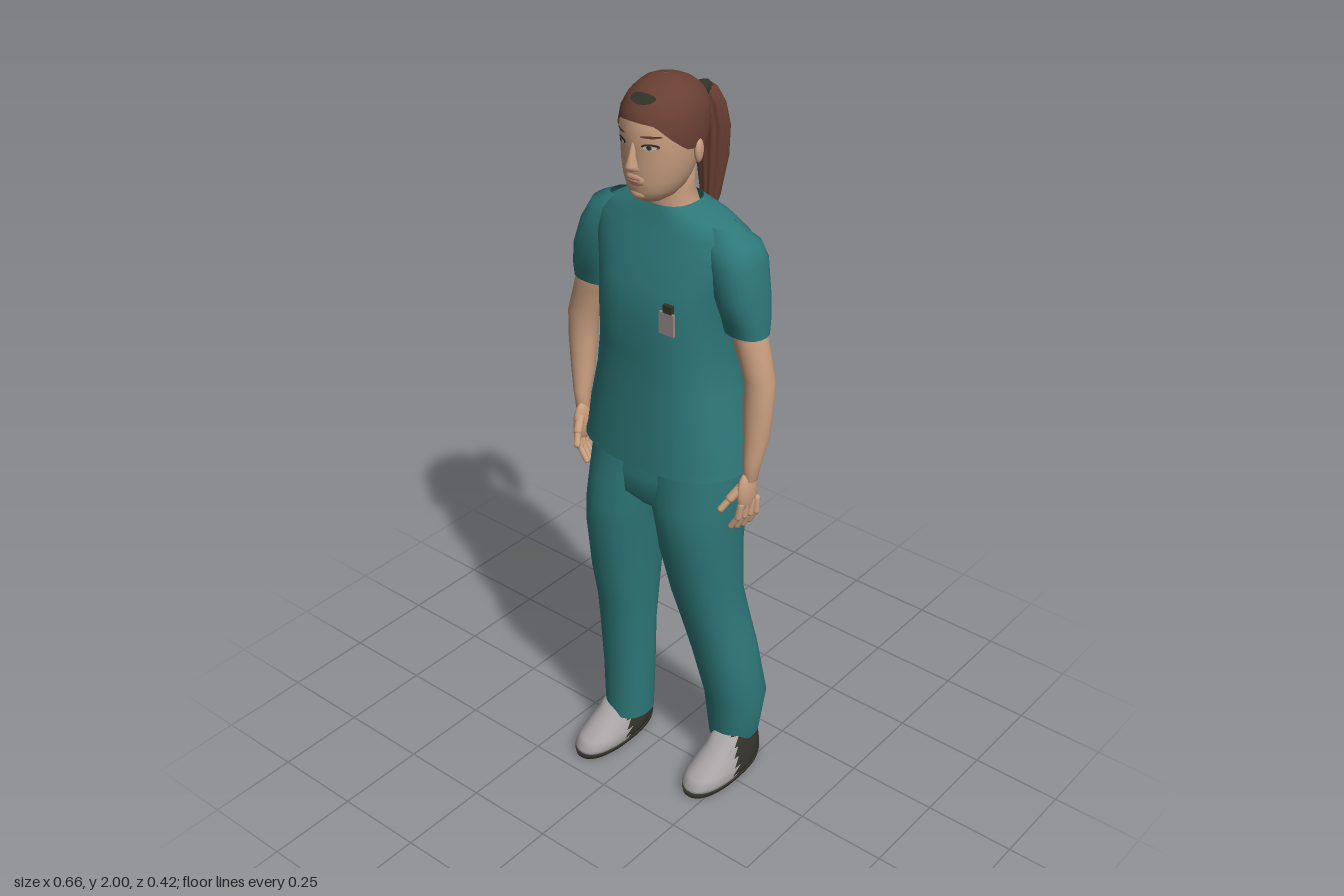
import * as THREE from 'three';

const paint = (name, color, side = THREE.FrontSide) => {
  const m = new THREE.MeshStandardMaterial({ color, side });
  m.name = name;
  return m;
};

// Closed skin of rows x seg points; pick(x, y, z) chooses a material group
function skin(rows, seg, point, caps, pick) {
  const pos = [], quads = [[], []];
  for (let i = 0; i < rows; i++) for (let j = 0; j < seg; j++) pos.push(...point(i, (j / seg) * Math.PI * 2));
  const add = (a, b, c) => {
    const mid = [0, 1, 2].map(k => (pos[a * 3 + k] + pos[b * 3 + k] + pos[c * 3 + k]) / 3);
    quads[pick ? pick(...mid) : 0].push(a, b, c);
  };
  for (let i = 0; i < rows - 1; i++) for (let j = 0; j < seg; j++) {
    const k = (j + 1) % seg, a = i * seg + j, b = i * seg + k;
    add(a, a + seg, b);
    add(b, a + seg, b + seg);
  }
  if (caps) for (const row of [0, rows - 1]) {
    const c = pos.length / 3, mid = [0, 0, 0];
    for (let j = 0; j < seg; j++) for (let k = 0; k < 3; k++) mid[k] += pos[(row * seg + j) * 3 + k] / seg;
    pos.push(...mid);
    for (let j = 0; j < seg; j++) {
      const a = row * seg + j, b = row * seg + (j + 1) % seg;
      row ? add(c, b, a) : add(c, a, b);
    }
  }
  const g = new THREE.BufferGeometry();
  g.setAttribute('position', new THREE.Float32BufferAttribute(pos, 3));
  g.setIndex([...quads[0], ...quads[1]]);
  if (pick) {
    g.addGroup(0, quads[0].length, 0);
    g.addGroup(quads[0].length, quads[1].length, 1);
  }
  g.computeVertexNormals();
  return g;
}

// A ring is [y, xMin, xMax, zBack, zFront]; n sets how square it is
const ringPoint = (r, a, n = 2) => {
  const p = v => Math.sign(v) * Math.pow(Math.abs(v), 2 / n);
  return [(r[1] + r[2]) / 2 + (r[2] - r[1]) / 2 * p(Math.cos(a)), r[0],
    (r[3] + r[4]) / 2 + (r[4] - r[3]) / 2 * p(Math.sin(a))];
};
const loft = (rings, { n = 2, seg = 28, caps = true, pick } = {}) =>
  skin(rings.length, seg, (i, a) => ringPoint(rings[i], a, n), caps, pick);

// Ring interpolated at height y
function ringAt(rings, y) {
  let i = 0;
  while (i < rings.length - 2 && rings[i + 1][0] < y) i++;
  const t = (y - rings[i][0]) / (rings[i + 1][0] - rings[i][0]);
  return rings[i].map((v, k) => v + (rings[i + 1][k] - v) * t);
}

// Thin ellipse draped over the front of a lofted form
function drape(rings, x, y, w, h, lift = 0.002) {
  const g = new THREE.CircleGeometry(1, 20), p = g.attributes.position;
  for (let i = 0; i < p.count; i++) {
    const px = x + p.getX(i) * w, py = y + p.getY(i) * h, r = ringAt(rings, py);
    const u = (px - (r[1] + r[2]) / 2) / ((r[2] - r[1]) / 2);
    p.setXYZ(i, px, py, (r[3] + r[4]) / 2 + (r[4] - r[3]) / 2 * Math.sqrt(Math.max(0, 1 - u * u)) + lift);
  }
  g.computeVertexNormals();
  return g;
}

const HEAD = [
  [1.712, -0.015, 0.045, 0.02, 0.085], [1.725, -0.035, 0.065, -0.02, 0.104], [1.745, -0.05, 0.08, -0.045, 0.112],
  [1.77, -0.062, 0.092, -0.06, 0.116], [1.81, -0.073, 0.103, -0.08, 0.119], [1.85, -0.078, 0.108, -0.09, 0.118],
  [1.89, -0.079, 0.109, -0.1, 0.123], [1.93, -0.072, 0.102, -0.1, 0.112], [1.96, -0.055, 0.085, -0.08, 0.085],
  [1.985, -0.03, 0.06, -0.04, 0.04]];
const HAIR = [
  [1.76, -0.062, 0.092, -0.075, 0.118], [1.8, -0.077, 0.107, -0.09, 0.123], [1.85, -0.084, 0.114, -0.108, 0.123],
  [1.89, -0.085, 0.115, -0.116, 0.127], [1.93, -0.08, 0.11, -0.114, 0.118], [1.96, -0.066, 0.096, -0.098, 0.098],
  [1.985, -0.042, 0.072, -0.065, 0.062], [1.996, -0.017, 0.047, -0.03, 0.028], [2.0, 0.01, 0.02, -0.005, 0.005]];
// Hairline height from back of head (-1) to forehead (+1)
const HAIRLINE = [[-1, 1.765], [-0.6, 1.775], [-0.3, 1.8], [0, 1.845], [0.3, 1.85], [0.6, 1.88], [0.85, 1.912], [1, 1.918]];

export function createModel() {
  const model = new THREE.Group();
  const teal = paint('teal cloth', 0x2e7778, THREE.DoubleSide), flesh = paint('skin', 0xc79d7e);
  const brown = paint('brown hair', 0x693f33, THREE.DoubleSide), dark = paint('dark trim', 0x34332a);
  const grey = paint('shoe grey', 0xa8a3a4), pink = paint('lips', 0xa8705f);
  const card = paint('badge card', 0x968a88), white = paint('eye white', 0xcfc4b8);
  const put = (name, geo, mat, parent = model) => {
    const m = new THREE.Mesh(geo, mat);
    m.name = name;
    parent.add(m);
    return m;
  };
  const ball = (name, mat, p, s, parent) => {
    const m = put(name, new THREE.SphereGeometry(1, 18, 12), mat, parent);
    m.position.set(...p);
    m.scale.set(...s);
    return m;
  };
  const rod = (name, p, q, r, parent) => {
    const a = new THREE.Vector3(...p), b = new THREE.Vector3(...q), d = b.clone().sub(a);
    const m = put(name, new THREE.CapsuleGeometry(r, d.length(), 4, 10), flesh, parent);
    m.position.copy(a).add(b).multiplyScalar(0.5);
    m.quaternion.setFromUnitVectors(new THREE.Vector3(0, 1, 0), d.normalize());
  };

  // Tunic, open at hem and collar
  put('tunic', loft([
    [1.005, -0.222, 0.255, -0.18, 0.137], [1.03, -0.216, 0.25, -0.188, 0.136], [1.12, -0.2, 0.235, -0.172, 0.131],
    [1.22, -0.176, 0.206, -0.16, 0.125], [1.32, -0.162, 0.194, -0.15, 0.124], [1.42, -0.16, 0.194, -0.154, 0.13],
    [1.5, -0.17, 0.205, -0.154, 0.115], [1.58, -0.195, 0.226, -0.143, 0.085], [1.63, -0.2, 0.228, -0.128, 0.062],
    [1.66, -0.15, 0.175, -0.118, 0.052], [1.69, -0.06, 0.083, -0.098, 0.042]], { n: 2.5, seg: 36, caps: false }), teal);
  put('rightSleeve', loft([[1.395, -0.3, -0.165, -0.08, 0.015], [1.43, -0.298, -0.16, -0.09, 0.025],
    [1.5, -0.278, -0.14, -0.1, 0.05], [1.58, -0.25, -0.12, -0.105, 0.05], [1.635, -0.22, -0.1, -0.09, 0.035],
    [1.66, -0.17, -0.09, -0.06, 0.01]], { n: 2.3, caps: false }), teal);
  put('leftSleeve', loft([[1.395, 0.185, 0.298, -0.08, 0.015], [1.43, 0.18, 0.296, -0.09, 0.025],
    [1.5, 0.17, 0.29, -0.1, 0.05], [1.58, 0.15, 0.278, -0.105, 0.05], [1.62, 0.13, 0.262, -0.095, 0.04],
    [1.66, 0.11, 0.205, -0.06, 0.01]], { n: 2.3, caps: false }), teal);

  // Trousers: striding legs under one seat
  put('trouserSeat', loft([[0.86, -0.09, 0.13, -0.09, 0.08], [0.9, -0.17, 0.215, -0.14, 0.115],
    [0.96, -0.2, 0.244, -0.15, 0.112], [1.04, -0.195, 0.24, -0.15, 0.1], [1.1, -0.18, 0.22, -0.14, 0.09]], { n: 2.3 }), teal);
  put('rightTrouserLeg', loft([[0.09, -0.165, -0.035, -0.05, 0.085], [0.25, -0.172, -0.03, -0.055, 0.085],
    [0.4, -0.178, -0.028, -0.06, 0.093], [0.5, -0.18, -0.02, -0.066, 0.104], [0.6, -0.19, -0.014, -0.078, 0.12],
    [0.75, -0.197, 0, -0.105, 0.138], [0.83, -0.199, 0.012, -0.12, 0.138], [0.9, -0.2, 0.03, -0.135, 0.126],
    [1.0, -0.198, 0.05, -0.14, 0.108]], { n: 2.2, caps: false }), teal);
  put('leftTrouserLeg', loft([[0.1, 0.133, 0.263, -0.155, -0.012], [0.25, 0.122, 0.29, -0.157, 0.01],
    [0.4, 0.09, 0.265, -0.147, 0.032], [0.5, 0.07, 0.248, -0.132, 0.052], [0.6, 0.05, 0.237, -0.115, 0.075],
    [0.75, 0.03, 0.235, -0.12, 0.11], [0.83, 0.02, 0.238, -0.13, 0.12], [0.9, 0, 0.241, -0.145, 0.122],
    [1.0, -0.02, 0.243, -0.15, 0.108]], { n: 2.2, caps: false }), teal);

  // Shoes: dark heel, grey toe, thin sole edge
  for (const [side, x, z] of [['right', -0.121, 0.062], ['left', 0.214, -0.006]]) {
    const shoe = new THREE.Group();
    shoe.name = side + 'Shoe';
    shoe.position.set(x, 0, z);
    model.add(shoe);
    put('shoeUpper', loft([[0.006, -0.058, 0.058, -0.138, 0.138], [0.03, -0.065, 0.065, -0.147, 0.147],
      [0.05, -0.062, 0.062, -0.148, 0.125], [0.075, -0.055, 0.055, -0.145, 0.08], [0.1, -0.048, 0.048, -0.14, 0.04],
      [0.13, -0.043, 0.043, -0.13, 0.005]], { n: 2.3, seg: 40, pick: (px, y, pz) => (pz < 0.02 - y * 0.35 ? 1 : 0) }), [grey, dark], shoe);
    put('shoeSole', loft([[0, -0.05, 0.05, -0.135, 0.135], [0.004, -0.06, 0.06, -0.147, 0.146],
      [0.018, -0.064, 0.064, -0.149, 0.149]], { n: 2.3, seg: 40 }), dark, shoe);
  }

  // Arms
  put('rightArm', loft([[1.01, -0.284, -0.247, -0.018, 0.022], [1.06, -0.297, -0.252, -0.032, 0.02],
    [1.12, -0.313, -0.25, -0.052, 0.014], [1.2, -0.327, -0.25, -0.066, 0.008], [1.28, -0.332, -0.245, -0.075, 0.004],
    [1.36, -0.308, -0.21, -0.075, 0.008], [1.5, -0.265, -0.17, -0.08, 0.02]]), flesh);
  put('leftArm', loft([[1.01, 0.27, 0.308, -0.018, 0.022], [1.06, 0.266, 0.313, -0.032, 0.02],
    [1.12, 0.256, 0.322, -0.052, 0.014], [1.2, 0.247, 0.326, -0.064, 0.01], [1.28, 0.242, 0.323, -0.072, 0.005],
    [1.36, 0.215, 0.303, -0.075, 0.01], [1.5, 0.18, 0.265, -0.08, 0.02]]), flesh);

  // Hands, curling inward
  for (const [side, s, wx, tx] of [['right', -1, 0.264, 0.226], ['left', 1, 0.289, 0.268]]) {
    const hand = new THREE.Group();
    hand.name = side + 'Hand';
    model.add(hand);
    ball('palm', flesh, [s * (wx - 0.004), 0.975, 0.008], [0.018, 0.058, 0.037], hand);
    for (let k = 0; k < 4; k++) {
      const z = 0.034 - k * 0.018, knuckle = [s * (wx - 0.002 + k * 0.003), 0.945, z];
      const bend = [s * ((wx + tx) / 2 + 0.004 + k * 0.005), 0.91, z + 0.004];
      rod('finger', knuckle, bend, 0.0095, hand);
      rod('fingertip', bend, [s * (tx - 0.004 + k * 0.006), 0.87 + Math.abs(k - 1.5) * 0.006, z + 0.008], 0.008, hand);
    }
    rod('thumbBase', [s * (wx - 0.006), 1.0, 0.022], [s * (wx - 0.022), 0.968, 0.052], 0.012, hand);
    rod('thumb', [s * (wx - 0.022), 0.968, 0.052], [s * (wx - 0.036), 0.94, 0.072], 0.009, hand);
  }

  // Neck, head and face
  put('neck', loft([[1.62, -0.07, 0.095, -0.1, 0.03], [1.68, -0.055, 0.08, -0.09, 0.034],
    [1.72, -0.044, 0.07, -0.078, 0.032], [1.8, -0.045, 0.075, -0.075, 0.04]]), flesh);
  put('head', loft(HEAD, { seg: 36 }), flesh);
  put('nose', loft([[1.798, 0.002, 0.026, 0.105, 0.127], [1.804, -0.003, 0.031, 0.1, 0.137],
    [1.813, 0, 0.028, 0.1, 0.142], [1.835, 0.006, 0.022, 0.1, 0.132], [1.868, 0.008, 0.02, 0.1, 0.121]], { seg: 14 }), flesh);
  ball('chin', flesh, [0.014, 1.737, 0.093], [0.026, 0.017, 0.02]);
  ball('mouthMound', flesh, [0.014, 1.776, 0.1], [0.033, 0.022, 0.022]);
  ball('upperLip', pink, [0.014, 1.78, 0.115], [0.021, 0.004, 0.009]);
  ball('lowerLip', pink, [0.014, 1.772, 0.114], [0.018, 0.005, 0.009]);
  for (const s of [-1, 1]) {
    const x = 0.015 + s * 0.042;
    put('lashes', drape(HEAD, x, 1.863, 0.019, 0.0075, 0.0015), dark);
    put('eyeWhite', drape(HEAD, x, 1.861, 0.015, 0.005, 0.003), white);
    put('iris', drape(HEAD, x, 1.8615, 0.0055, 0.0052, 0.0045), dark);
    put('eyebrow', drape(HEAD, x + s * 0.003, 1.887, 0.022, 0.0032, 0.002), brown);
    ball('ear', flesh, [0.015 + s * 0.096, 1.835, -0.003], [0.01, 0.03, 0.018]).rotation.y = s * 0.3;
  }

  // Hair swept back from a curved hairline
  put('hair', skin(16, 48, (i, a) => {
    const s = Math.sin(a);
    let k = 0;
    while (k < HAIRLINE.length - 2 && HAIRLINE[k + 1][0] < s) k++;
    const [[s0, y0], [s1, y1]] = [HAIRLINE[k], HAIRLINE[k + 1]];
    const low = y0 + (y1 - y0) * (s - s0) / (s1 - s0);
    return ringPoint(ringAt(HAIR, low + (2 - low) * Math.sin((i / 15) * Math.PI / 2)), a);
  }, false), brown);
  put('partingShadow', drape(HAIR, 0.018, 1.965, 0.034, 0.01, 0.003), dark);

  // Ponytail with ridged strands and a dark tie
  const tail = [[1.58, 0.012, 0.026, -0.17, -0.158], [1.65, -0.004, 0.044, -0.19, -0.142],
    [1.75, -0.02, 0.06, -0.206, -0.136], [1.83, -0.026, 0.066, -0.203, -0.132], [1.89, -0.018, 0.06, -0.19, -0.122],
    [1.925, -0.004, 0.045, -0.172, -0.115], [1.942, 0.01, 0.03, -0.15, -0.125]];
  put('ponytail', skin(tail.length, 48, (i, a) => {
    const r = tail[i], [x, y, z] = ringPoint(r, a), cx = (r[1] + r[2]) / 2, cz = (r[3] + r[4]) / 2;
    const f = 1 + 0.07 * Math.cos(a * 12);
    return [cx + (x - cx) * f, y, cz + (z - cz) * f];
  }, true), brown);
  const tie = put('hairTie', new THREE.CylinderGeometry(0.019, 0.026, 0.045, 16), dark);
  tie.position.set(0.02, 1.927, -0.124);
  tie.rotation.x = -Math.PI / 2;

  // Chest badge and clip
  put('badge', new THREE.BoxGeometry(0.044, 0.058, 0.008), card).position.set(0.123, 1.44, 0.127);
  put('badgeClip', new THREE.BoxGeometry(0.026, 0.02, 0.012), dark).position.set(0.125, 1.479, 0.125);
  return model;
}
